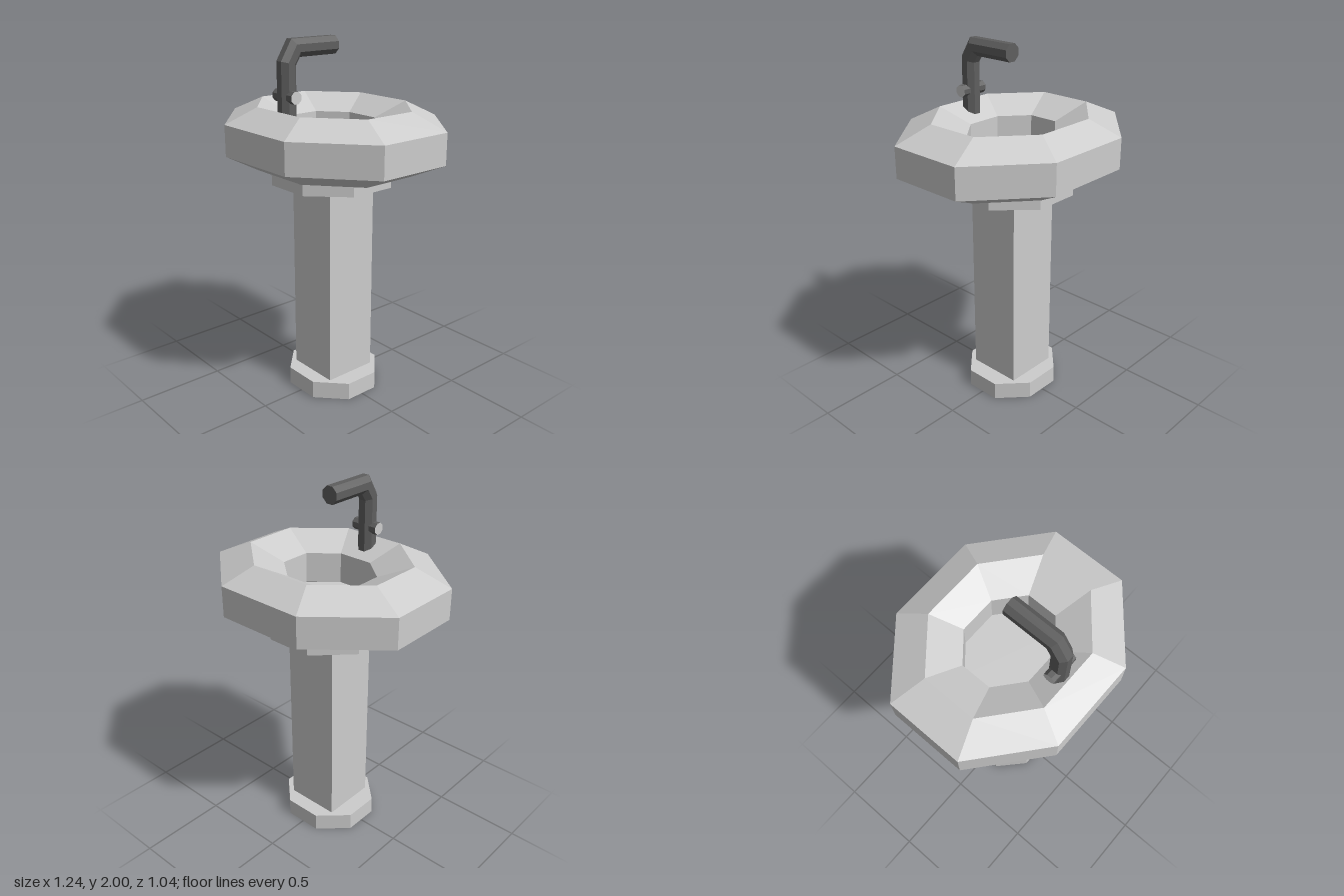
import * as THREE from 'three';

const SIDES = 8, TURN = Math.PI / SIDES, FLAT = Math.cos(TURN);

// Upright octagonal slab, measured across its flat sides
function octagonSlab(halfX, halfZ, y0, y1, material) {
  const g = new THREE.CylinderGeometry(1 / FLAT, 1 / FLAT, y1 - y0, SIDES, 1, false, TURN);
  g.scale(halfX, 1, halfZ);
  g.translate(0, (y0 + y1) / 2, 0);
  return new THREE.Mesh(g, material);
}

// Octagonal pipe through mitred rings: centre (y, z) and outward direction (dy, dz)
function mitredPipe(rings, radius) {
  const pos = [], index = [];
  for (const [y, z, dy, dz] of rings) {
    for (let j = 0; j < SIDES; j++) {
      const a = TURN + j * 2 * TURN, b = radius * Math.sin(a);
      pos.push(radius * Math.cos(a), y + b * dy, z + b * dz);
    }
  }
  for (let i = 0; i < rings.length - 1; i++) {
    for (let j = 0; j < SIDES; j++) {
      const k = (j + 1) % SIDES, p = i * SIDES, q = p + SIDES;
      index.push(p + j, q + j, p + k, q + j, q + k, p + k);
    }
  }
  // End caps
  const last = (rings.length - 1) * SIDES;
  for (let j = 1; j < SIDES - 1; j++) {
    index.push(0, j, j + 1, last, last + j + 1, last + j);
  }
  const g = new THREE.BufferGeometry();
  g.setAttribute('position', new THREE.Float32BufferAttribute(pos, 3));
  g.setIndex(index);
  const flat = g.toNonIndexed();
  flat.computeVertexNormals();
  return flat;
}

export function createModel() {
  const stone = new THREE.MeshStandardMaterial({ color: 0xcccccc, flatShading: true });
  stone.name = 'pale stone';
  const metal = new THREE.MeshStandardMaterial({ color: 0x5e5e5e, flatShading: true });
  metal.name = 'dark metal';

  const model = new THREE.Group();
  model.name = 'pedestalBasin';
  const add = (name, mesh) => { mesh.name = name; model.add(mesh); return mesh; };

  // Foot, square column and collar; the collar top is the basin floor
  add('foot', octagonSlab(0.255, 0.24, 0, 0.1, stone));
  const column = add('column', new THREE.Mesh(new THREE.BoxGeometry(0.312, 1.125, 0.312), stone));
  column.position.y = 0.6625;
  add('collar', octagonSlab(0.318, 0.318, 1.225, 1.38, stone));

  // Basin ring: hexagonal section around an oval octagon
  const section = [
    [0.433, 1.305], [0.618, 1.39], [0.618, 1.56], [0.433, 1.645],
    [0.248, 1.56], [0.248, 1.39], [0.433, 1.305],
  ].map(([r, y]) => new THREE.Vector2(r / FLAT, y));
  const ring = new THREE.LatheGeometry(section, SIDES, TURN);
  ring.scale(1, 1, 0.842);
  add('basin', new THREE.Mesh(ring, stone));

  // Tap: upright pipe, bevelled elbow and spout reaching over the bowl
  add('tap', new THREE.Mesh(mitredPipe([
    [1.57, 0.306, 0, 1],
    [1.882, 0.306, 0.28, 1],
    [1.955, 0.26, 1, 0.56],
    [1.955, 0, 1, 0],
  ], 0.05), metal));

  // Handle bar through the tap, with pale ends
  const bar = new THREE.CylinderGeometry(0.034, 0.034, 0.158, SIDES, 1, false, TURN);
  const handle = add('tapHandles', new THREE.Mesh(bar, [metal, stone, stone]));
  handle.rotation.z = Math.PI / 2;
  handle.position.set(0, 1.718, 0.306);

  return model;
}
